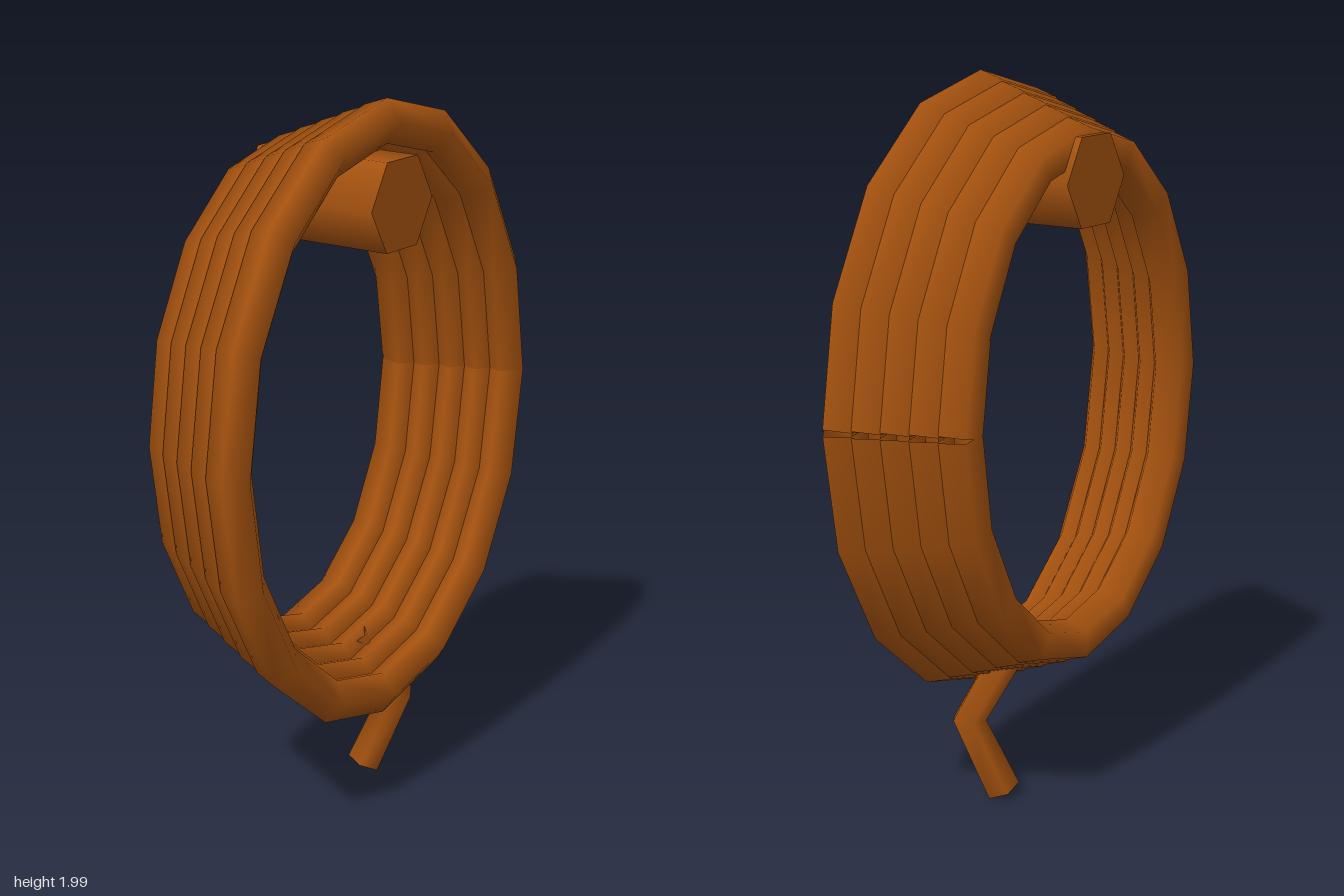
import * as THREE from 'three';

const V = (x, y, z) => new THREE.Vector3(x, y, z);

// Open tube whose rings sit exactly on the given points
function ropeTube(points, radius, sides, material) {
  const curve = new THREE.CatmullRomCurve3(points);
  curve.getPointAt = (t, target) => curve.getPoint(t, target);
  curve.getTangentAt = (t, target) => curve.getTangent(t, target);
  return new THREE.Mesh(new THREE.TubeGeometry(curve, points.length - 1, radius, sides), material);
}

export function createModel() {
  const group = new THREE.Group();
  const rope = new THREE.MeshStandardMaterial({ color: 0xa5520f, side: THREE.DoubleSide });
  rope.name = 'ropeBrown';

  // Five oval loops, shrinking towards the back
  for (let i = 0; i < 5; i++) {
    const points = [];
    for (let k = 0; k <= 16; k++) {
      const a = (k / 16) * Math.PI * 2;
      points.push(V((0.631 - 0.0275 * i) * Math.cos(a), 1.14 + (0.801 - 0.0275 * i) * Math.sin(a), 0.14 - 0.07 * i));
    }
    const loop = ropeTube(points, 0.062, 5, rope);
    loop.name = 'ropeLoop' + (i + 1);
    group.add(loop);
  }

  // Hexagonal peg the coil hangs on
  const pegShape = new THREE.CylinderGeometry(0.137, 0.137, 0.42, 6);
  pegShape.rotateY(Math.PI / 6).rotateX(Math.PI / 2);
  const peg = new THREE.Mesh(pegShape, rope);
  peg.name = 'peg';
  peg.position.set(0, 1.73, 0);
  group.add(peg);

  // Loose rope end with one bend
  const path = [V(0.07, 0.45, 0), V(0.205, 0.24, 0.065), V(0.135, 0.025, 0)];
  const tail = ropeTube(path, 0.05, 5, rope);
  tail.name = 'ropeTail';
  group.add(tail);

  // Cap closing the tail, built on its last ring of vertices
  const ring = tail.geometry.attributes.position;
  const corners = [path[2]];
  for (let j = 0; j <= 5; j++) corners.push(new THREE.Vector3().fromBufferAttribute(ring, 12 + j));
  const capShape = new THREE.BufferGeometry().setFromPoints(corners);
  const index = [];
  for (let j = 1; j <= 5; j++) index.push(0, j + 1, j);
  capShape.setIndex(index);
  capShape.computeVertexNormals();
  // Keep the cap facing out of the rope
  if (capShape.attributes.normal.getY(0) > 0) {
    capShape.setIndex(index.slice().reverse());
    capShape.computeVertexNormals();
  }
  const cap = new THREE.Mesh(capShape, rope);
  cap.name = 'ropeTailCap';
  group.add(cap);

  return group;
}
